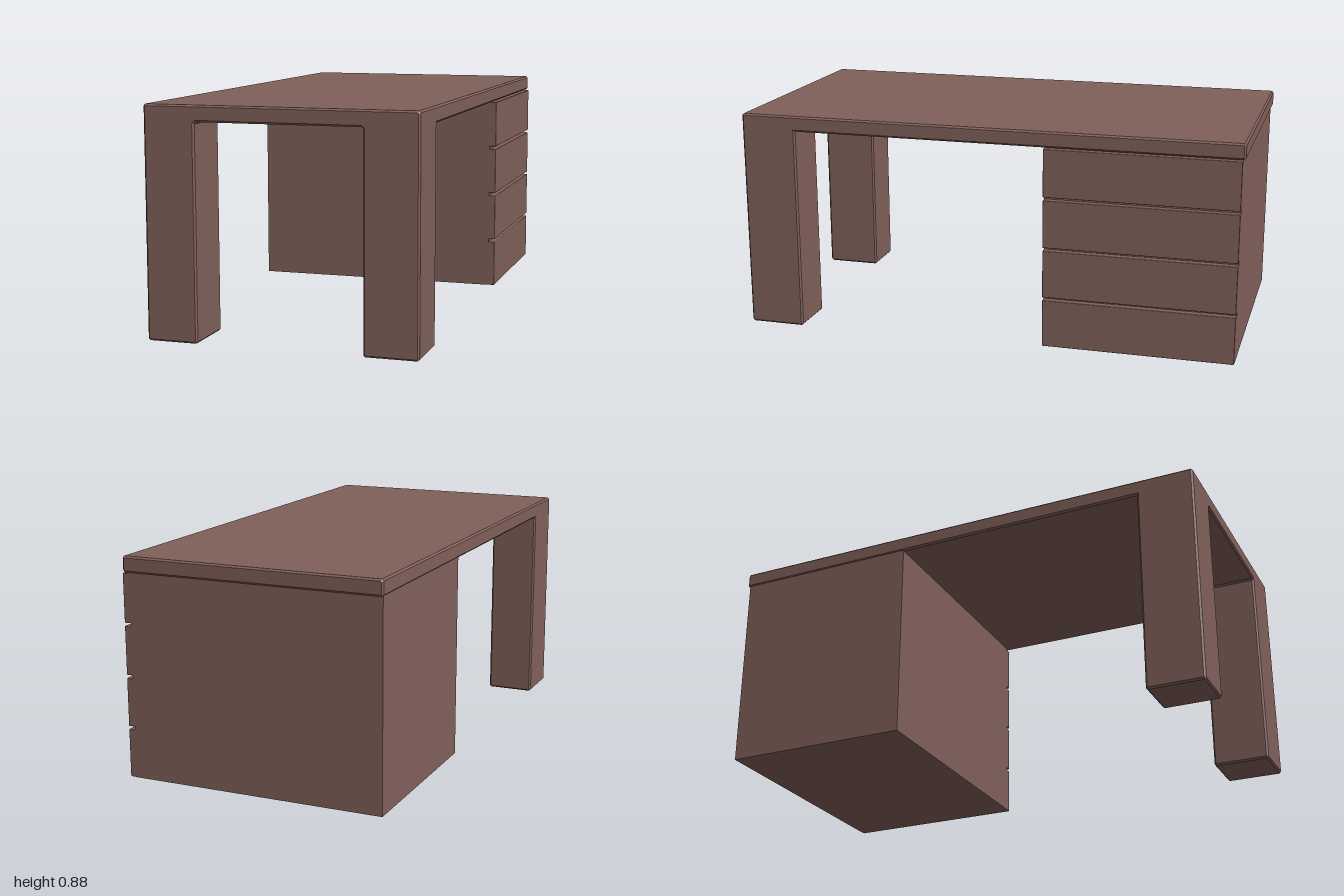
import * as THREE from 'three';
import { RoundedBoxGeometry } from 'three/addons/geometries/RoundedBoxGeometry.js';

const BEVEL = 0.007;
const X0 = -0.522, X1 = 0.516, TOP = 0.878, UNDER = 0.816;

// Outline with every corner cut off by a small chamfer
function chamferedShape(points, c = BEVEL) {
  const out = [];
  points.forEach((p, i) => {
    const prev = points[(i + points.length - 1) % points.length];
    const next = points[(i + 1) % points.length];
    for (const q of [prev, next]) {
      const dir = q.clone().sub(p).normalize();
      out.push(p.clone().addScaledVector(dir, c));
    }
  });
  return new THREE.Shape(out);
}

// Chamfered prism running from z0 to z1
function prism(coords, z0, z1) {
  const points = coords.map(([x, y]) => new THREE.Vector2(x, y));
  const geometry = new THREE.ExtrudeGeometry(chamferedShape(points), {
    depth: z1 - z0 - 2 * BEVEL, bevelEnabled: true, bevelSegments: 1,
    bevelThickness: BEVEL, bevelSize: BEVEL, bevelOffset: -BEVEL,
  });
  geometry.translate(0, 0, z0 + BEVEL);
  return geometry;
}

export function createModel() {
  const group = new THREE.Group();
  group.name = 'desk';
  const wood = new THREE.MeshStandardMaterial({ color: 0x80605a });

  const add = (name, geometry, x = 0, y = 0, z = 0) => {
    const mesh = new THREE.Mesh(geometry, wood);
    mesh.name = name;
    mesh.position.set(x, y, z);
    group.add(mesh);
  };

  // Table top, its front end hidden inside the leg arch
  add('tableTop', prism([[X0, UNDER], [X1, UNDER], [X1, TOP], [X0, TOP]], -1, 0.9));

  // Two front legs joined by the front end of the top
  const legL = 0.31, legR = -0.324;
  add('legArch', prism([
    [X0, 0], [legR, 0], [legR, UNDER], [legL, UNDER],
    [legL, 0], [X1, 0], [X1, TOP], [X0, TOP],
  ], 0.775, 1));

  // Drawer cabinet under the back end
  const z0 = -0.99, z1 = -0.24, zMid = (z0 + z1) / 2, depth = z1 - z0;
  const bottom = 0.02, bodyX1 = 0.495, bodyX0 = -0.518;
  add('cabinet', new THREE.BoxGeometry(bodyX1 - bodyX0, UNDER + 0.004 - bottom, depth),
    (bodyX0 + bodyX1) / 2, (UNDER + 0.004 + bottom) / 2, zMid);

  // Four drawer fronts with narrow gaps between them
  const gap = 0.012, count = 4, faceX = 0.522, thick = 0.03;
  const pitch = (0.812 + gap - bottom) / count;
  for (let i = 0; i < count; i++) {
    add('drawerFront' + (i + 1),
      new RoundedBoxGeometry(thick, pitch - gap, depth, 2, 0.003),
      faceX - thick / 2, bottom + pitch * i + (pitch - gap) / 2, zMid);
  }
  return group;
}
